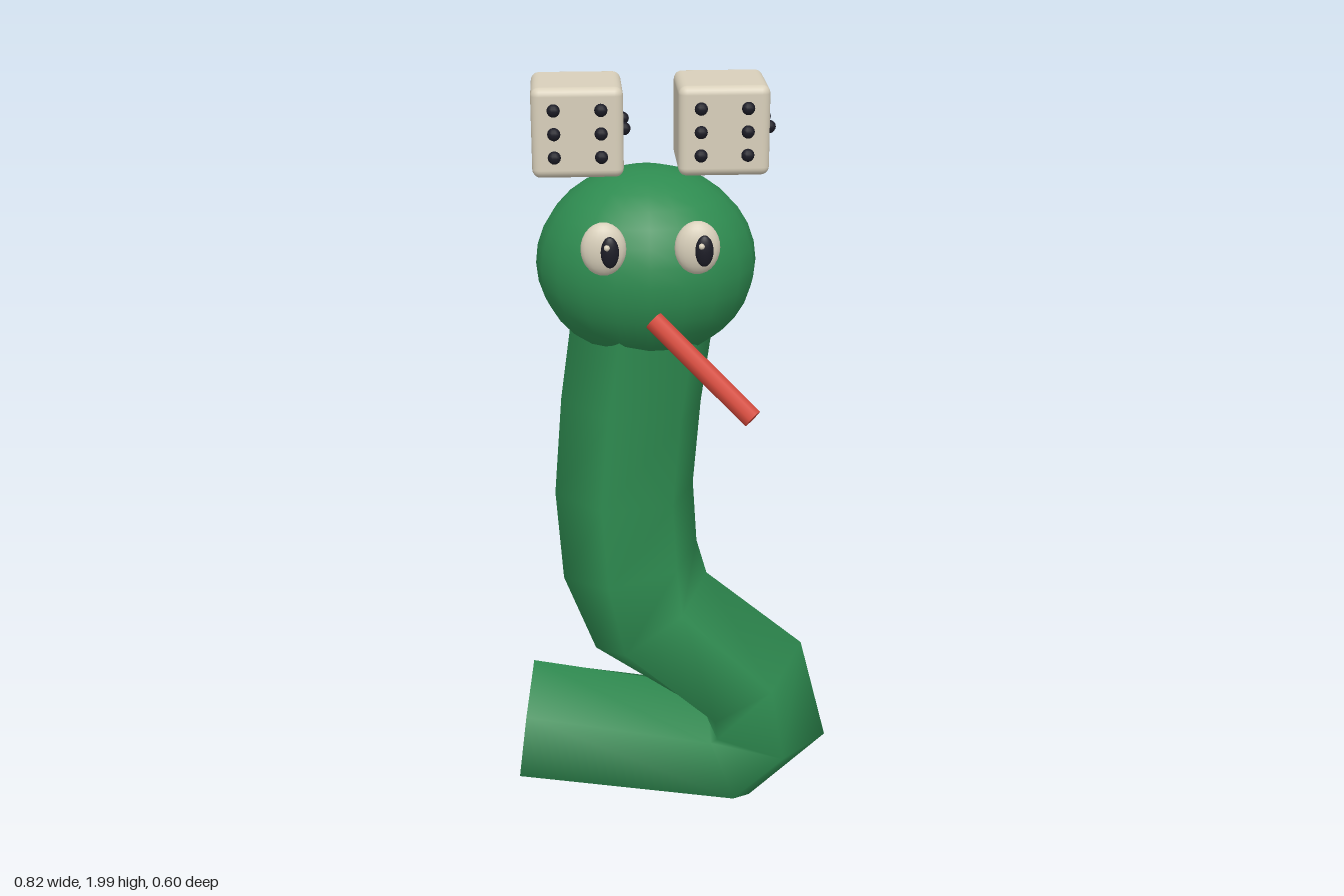
import * as THREE from 'three';
import { RoundedBoxGeometry } from 'three/addons/geometries/RoundedBoxGeometry.js';

const mat = (name, color, side = THREE.FrontSide) => {
  const m = new THREE.MeshStandardMaterial({ color, side });
  m.name = name;
  return m;
};

// Curve whose tube rings sit exactly on its control points, with a slight twist up the neck
class BodyCurve extends THREE.CatmullRomCurve3 {
  getPointAt(u, target) { return this.getPoint(u, target); }
  getTangentAt(u, target) { return this.getTangent(u, target); }
  computeFrenetFrames(segments, closed) {
    const f = super.computeFrenetFrames(segments, closed);
    f.tangents.forEach((t, i) => {
      const angle = Math.PI / 2 + (Math.PI / 6) * THREE.MathUtils.clamp((i - 2) / 3, 0, 1);
      f.normals[i].applyAxisAngle(t, angle);
      f.binormals[i].applyAxisAngle(t, angle);
    });
    return f;
  }
}

export function createModel() {
  const green = mat('green skin', 0x2e8b50, THREE.DoubleSide);
  const ivory = mat('ivory', 0xd8cfba);
  const black = mat('black', 0x1c1c26);
  const red = mat('red tongue', 0xd4483a);

  const model = new THREE.Group();
  model.name = 'snake';
  const add = (parent, name, geometry, material, x = 0, y = 0, z = 0) => {
    const mesh = new THREE.Mesh(geometry, material);
    mesh.name = name;
    mesh.position.set(x, y, z);
    parent.add(mesh);
    return mesh;
  };

  // Six-sided body from the open tail end up into the head
  const path = [
    [-0.395, 0.25, -0.14], [0.15, 0.182, -0.1], [0.236, 0.28, -0.07],
    [0.19, 0.417, -0.06], [-0.06, 0.61, -0.065], [-0.112, 0.76, -0.07],
    [-0.125, 0.96, -0.08], [-0.105, 1.2, -0.08], [-0.077, 1.4, -0.077], [-0.067, 1.52, -0.07],
  ].map((p) => new THREE.Vector3(...p));
  add(model, 'body', new THREE.TubeGeometry(new BodyCurve(path), path.length - 1, 0.18, 6), green);

  // Head
  add(model, 'head', new THREE.SphereGeometry(1, 20, 16), green, -0.067, 1.565, -0.068)
    .scale.set(0.267, 0.235, 0.233);

  // Eyes with pupils and glints
  const ball = new THREE.SphereGeometry(1, 20, 14);
  for (const [side, x] of [['right', -0.175], ['left', 0.042]]) {
    const eye = new THREE.Group();
    eye.name = side + 'Eye';
    eye.position.set(x, 1.66, 0.15);
    model.add(eye);
    add(eye, 'eyeball', ball, ivory).scale.set(0.053, 0.063, 0.03);
    add(eye, 'pupil', ball, black, 0.014, 0, 0.03).scale.set(0.021, 0.037, 0.012);
    add(eye, 'glint', ball, ivory, 0.007, 0.014, 0.041).scale.setScalar(0.007);
  }

  // Tongue
  const start = new THREE.Vector3(-0.06, 1.485, 0.15);
  const end = new THREE.Vector3(0.164, 1.282, 0.277);
  const along = end.clone().sub(start);
  const tongue = add(model, 'tongue', new THREE.CylinderGeometry(0.025, 0.025, along.length(), 8), red);
  tongue.position.copy(start).add(end).multiplyScalar(0.5);
  tongue.quaternion.setFromUnitVectors(new THREE.Vector3(0, 1, 0), along.normalize());

  // Pair of dice: six pips on the front, two on the left side
  const cube = new RoundedBoxGeometry(0.215, 0.212, 0.215, 3, 0.02);
  const pip = new THREE.SphereGeometry(0.0155, 10, 8);
  for (const [side, x] of [['right', -0.228], ['left', 0.115]]) {
    const die = new THREE.Group();
    die.name = side + 'Die';
    die.position.set(x, 1.894, -0.103);
    model.add(die);
    add(die, 'cube', cube, ivory);
    for (const s of [-0.055, 0.055]) {
      for (const y of [-0.055, 0, 0.055]) add(die, 'frontPip', pip, black, s, y, 0.108);
      add(die, 'sidePip', pip, black, 0.11, 0, s);
    }
  }
  return model;
}
